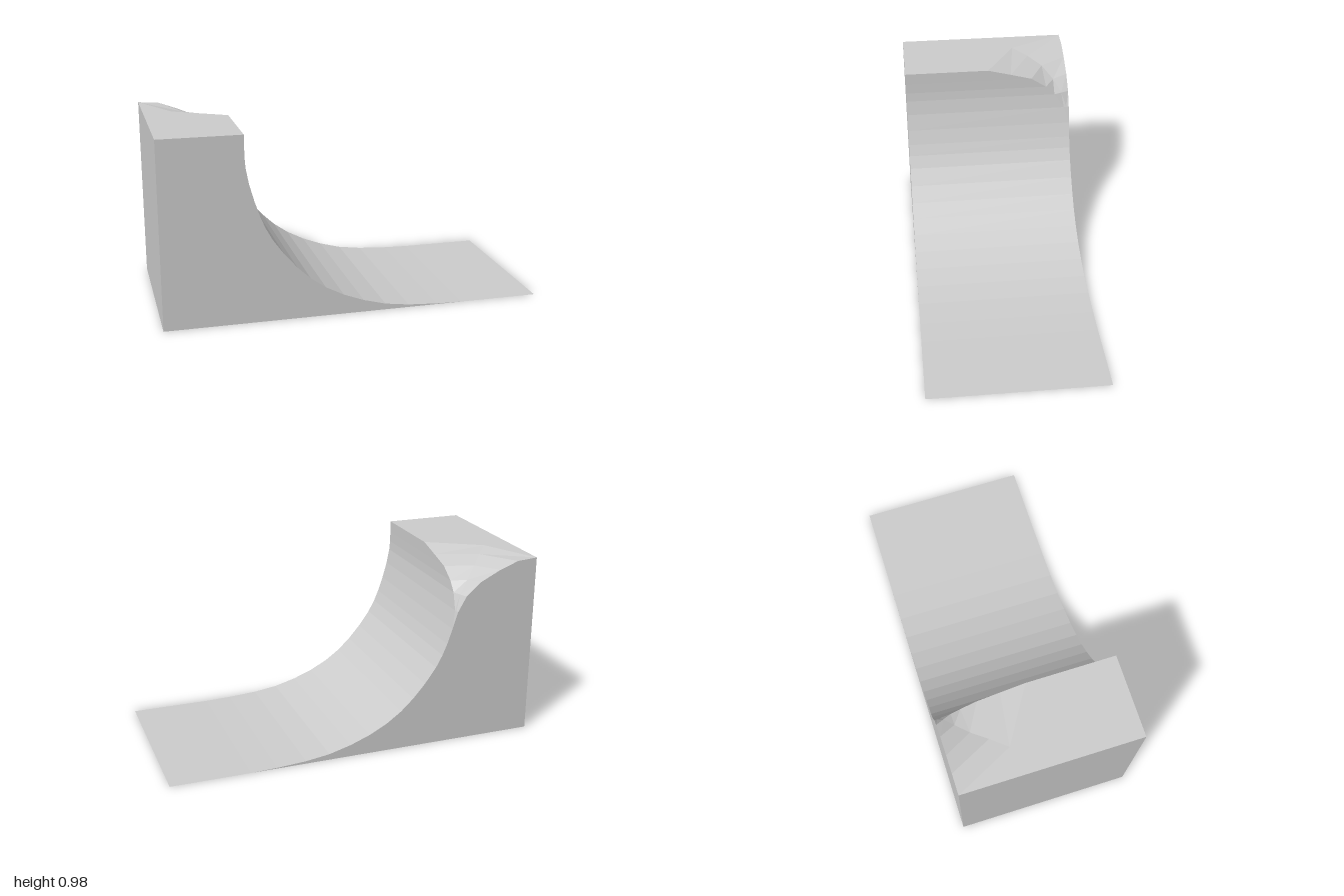
import * as THREE from 'three';

const H = 0.98, W = 0.47;

// Upper ramp levels [x, y, z]: the lip falls away towards the back corner
const lip = [
  [-0.572, H, 0], [-0.572, 0.947, -0.13], [-0.572, 0.915, -0.25], [-0.571, 0.86, -0.335],
  [-0.567, 0.81, -0.385], [-0.552, 0.73, -0.44], [-0.527, 0.64, -W],
];
// Top edge of the back wall, meeting the lip at the corner
const rim = [
  [-1, H, -W], [-0.89, 0.972, -W], [-0.79, 0.935, -W], [-0.68, 0.88, -W],
  [-0.6, 0.81, -W], [-0.555, 0.73, -W], [-0.527, 0.64, -W],
];
// Lower ramp profile [x, y]
const lower = [
  [-0.50, 0.56], [-0.475, 0.5], [-0.44, 0.435], [-0.38, 0.352], [-0.315, 0.277], [-0.246, 0.212],
  [-0.166, 0.155], [-0.07, 0.105], [0.037, 0.064], [0.155, 0.032], [0.283, 0.014],
  [0.44, 0.004], [0.58, 0],
];

// Faceted surface between two rows of points
function strip(a, b) {
  const pos = [];
  for (let i = 0; i < a.length - 1; i++) {
    pos.push(...a[i], ...a[i + 1], ...b[i], ...a[i + 1], ...b[i + 1], ...b[i]);
  }
  const g = new THREE.BufferGeometry();
  g.setAttribute('position', new THREE.Float32BufferAttribute(pos, 3));
  g.computeVertexNormals();
  return g;
}

const flat = (pts) => new THREE.ShapeGeometry(
  new THREE.Shape(pts.map(([x, y]) => new THREE.Vector2(x, y))));

export function createModel() {
  const group = new THREE.Group();
  const grey = new THREE.MeshStandardMaterial({ color: 0xcccccc, side: THREE.DoubleSide, flatShading: true });
  grey.name = 'light grey';
  const add = (name, geometry) => {
    const mesh = new THREE.Mesh(geometry, grey);
    mesh.name = name;
    group.add(mesh);
  };

  // Curved riding surface with its flat run-out
  const back = [...lip, ...lower.map(([x, y]) => [x, y, -W]), [1, 0, -W]];
  const front = back.map(([x, y]) => [x, y, W]);
  add('rampSurface', strip(front, back));

  // Side walls follow the ramp; the underside stays open
  add('frontWall', flat([[-1, 0], ...[...lip, ...lower].reverse(), [-1, H]]).translate(0, 0, W));
  const backOutline = [[-1, 0], ...rim, ...lower].map(([x, y]) => [-x, y]);
  add('backWall', flat(backOutline).rotateY(Math.PI).translate(0, 0, -W));
  add('endWall', new THREE.PlaneGeometry(2 * W, H).rotateY(-Math.PI / 2).translate(-1, H / 2, 0));

  // Worn corner between lip and rim, spreading out onto the deck
  const mid = lip.map((p, i) => {
    const push = 0.065 * Math.max(0, 1 - i / 4);
    const [x, y, z] = p.map((v, k) => (v + rim[i][k]) / 2);
    return [x - push, y, z + push];
  });
  add('cornerInner', strip(lip, mid));
  add('cornerOuter', strip(mid, rim));

  // Flat deck
  const deck = [[-1, -W], [lip[0][0], -W], [lip[0][0], 0], [mid[0][0], -mid[0][2]], [-1, W]];
  add('deck', flat(deck).rotateX(-Math.PI / 2).translate(0, H, 0));

  return group;
}
